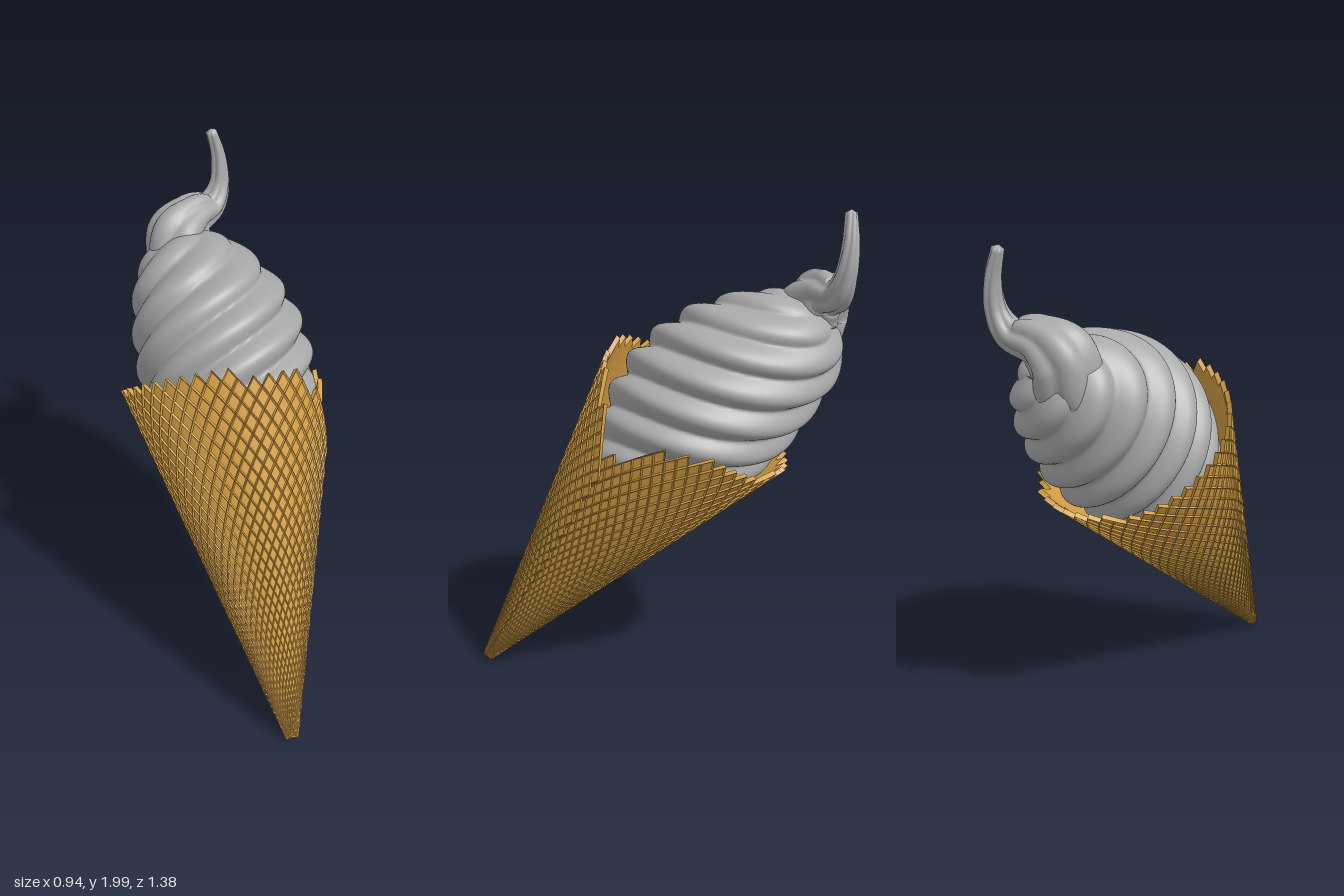
import * as THREE from 'three';

const waferMat = new THREE.MeshStandardMaterial({ color: 0xd6a044 });
waferMat.name = 'wafer gold';
const creamMat = new THREE.MeshStandardMaterial({ color: 0xa8a8a8 });
creamMat.name = 'cream grey';

// Smooth surface from closed rings: point(v 0..1, angle) -> Vector3
function loft(rows, cols, point) {
  const pos = [], index = [];
  for (let i = 0; i <= rows; i++) {
    for (let j = 0; j < cols; j++) pos.push(...point(i / rows, (j / cols) * Math.PI * 2).toArray());
  }
  for (let i = 0; i < rows; i++) {
    for (let j = 0; j < cols; j++) {
      const k = (j + 1) % cols;
      const a = i * cols + j, b = a + cols, c = i * cols + k, d = c + cols;
      index.push(a, b, c, c, b, d);
    }
  }
  const g = new THREE.BufferGeometry();
  g.setAttribute('position', new THREE.Float32BufferAttribute(pos, 3));
  g.setIndex(index);
  g.computeVertexNormals();
  return g;
}

// Piecewise-linear lookup in [key, value] pairs
function lookup(table, key) {
  const i = Math.max(1, table.findIndex(([k]) => key <= k));
  const [a, va] = table[i - 1], [b, vb] = table[i];
  return THREE.MathUtils.mapLinear(THREE.MathUtils.clamp(key, a, b), a, b, va, vb);
}

// By angle in degrees: rim height along the cone, and the roll's offset from a true cone
const RIM = [[30, 1.22], [60, 1.43], [90, 1.475], [180, 1.5], [270, 1.53],
  [330, 1.51], [360, 1.43], [390, 1.24], [430, 1.0]];
const ROLL = [[20, 0.024], [90, 0.01], [180, 0.02], [270, -0.004], [330, -0.024], [430, -0.028]];

// Rolled wafer sheet: diamond cells with raised frames and sunken floors
function waferGeometry() {
  const perTurn = 88, halfRows = 48, pos = [];
  const cols = Math.round((perTurn * 390) / 360);
  const degOf = (i) => 30 + (i * 360) / perTurn;
  const heightOf = (j) => 1.62 * Math.pow(Math.max(j, 0) / halfRows, 1.3);
  const point = (i, j, depth) => {
    const deg = degOf(i), s = heightOf(j), a = THREE.MathUtils.degToRad(deg);
    const base = 0.025 + 0.265 * s;
    const k = 0.05 + (0.95 * base) / 0.42;
    const r = base + k * (lookup(ROLL, deg) - depth);
    return [r * Math.cos(a), s, r * Math.sin(a)];
  };
  const quad = (a, b, c, d) => pos.push(...a, ...b, ...c, ...a, ...c, ...d);
  const corners = [[0, -1], [-1, 0], [0, 1], [1, 0]];
  for (let i = 0; i <= cols; i++) {
    for (let j = 1; j < halfRows; j++) {
      if ((i + j) % 2 || heightOf(j) > lookup(RIM, degOf(i)) - 0.03) continue;
      const ring = (scale, depth) => corners.map(([x, y]) => point(i + x * scale, j + y * scale, depth));
      const outer = ring(1, 0), floor = ring(0.8, 0.008), inner = ring(1, 0.02);
      quad(...floor);
      quad(inner[3], inner[2], inner[1], inner[0]);
      for (let c = 0; c < 4; c++) {
        const n = (c + 1) % 4;
        quad(outer[c], outer[n], floor[n], floor[c]);
        quad(outer[n], outer[c], inner[c], inner[n]);
      }
    }
  }
  const g = new THREE.BufferGeometry();
  g.setAttribute('position', new THREE.Float32BufferAttribute(pos, 3));
  g.computeVertexNormals();
  return g;
}

// Swirled cream: radius, height and sideways lean, with helical rounded ridges
function swirlGeometry() {
  const profile = new THREE.CatmullRomCurve3([
    [0, 1, 0], [0.21, 1.02, 0], [0.28, 1.2, 0], [0.33, 1.4, 0.005], [0.345, 1.52, 0.012], [0.338, 1.65, 0.025],
    [0.305, 1.8, 0.05], [0.25, 1.93, 0.09], [0.185, 2.02, 0.113], [0.11, 2.07, 0.12], [0, 2.09, 0.12],
  ].map((p) => new THREE.Vector3(...p)));
  return loft(150, 120, (v, a) => {
    const { x, y, z: lean } = profile.getPointAt(v);
    const wave = Math.sin(3 * a + 21 * y);
    const r = Math.max(x, 0) * (0.88 + 0.15 * Math.sqrt(wave * wave + 0.015));
    return new THREE.Vector3(r * Math.cos(a) - 0.4 * lean, y, r * Math.sin(a) - lean);
  });
}

// Curled peak: tapering fluted tube that hooks upward
function curlGeometry() {
  const path = [
    [-0.27, 1.41, -0.36, 0.1], [-0.315, 1.5, -0.42, 0.135], [-0.325, 1.605, -0.455, 0.132],
    [-0.285, 1.665, -0.525, 0.092], [-0.23, 1.685, -0.605, 0.06], [-0.207, 1.76, -0.645, 0.042],
    [-0.213, 1.87, -0.655, 0.032], [-0.24, 1.995, -0.635, 0.021],
  ];
  const curve = new THREE.CatmullRomCurve3(path.map(([x, y, z]) => new THREE.Vector3(x, y, z)));
  const radii = new THREE.CatmullRomCurve3(path.map((p) => new THREE.Vector3(p[3], 0, 0)));
  const rows = 60;
  const frames = curve.computeFrenetFrames(rows, false);
  return loft(rows, 48, (v, a) => {
    const i = Math.round(v * rows);
    const t = curve.getUtoTmapping(v);
    const flute = Math.abs(Math.sin(3 * a + 5 * v));
    const end = i === 0 || i === rows ? 0 : 1;
    const r = end * radii.getPoint(t).x * (0.86 + 0.18 * flute);
    return curve.getPoint(t)
      .addScaledVector(frames.normals[i], r * Math.cos(a))
      .addScaledVector(frames.binormals[i], -r * Math.sin(a));
  });
}

export function createModel() {
  const model = new THREE.Group();
  model.name = 'softServeCone';
  const add = (parent, geometry, material, name) => {
    const mesh = new THREE.Mesh(geometry, material);
    mesh.name = name;
    parent.add(mesh);
  };

  // Tilted frame: y runs from the cone's point to its mouth
  const tilted = new THREE.Group();
  tilted.name = 'tiltedCone';
  const axis = new THREE.Vector3(-0.312, 0.793, -0.523).normalize();
  const side = new THREE.Vector3(0.859, 0, -0.512).normalize();
  const upper = new THREE.Vector3().crossVectors(side, axis).normalize();
  side.crossVectors(axis, upper);
  tilted.applyMatrix4(new THREE.Matrix4().makeBasis(side, axis, upper).setPosition(0.435, 0.018, 0.665));
  add(tilted, waferGeometry(), waferMat, 'waferCone');
  add(tilted, swirlGeometry(), creamMat, 'creamSwirl');
  model.add(tilted);

  add(model, curlGeometry(), creamMat, 'creamCurl');
  return model;
}
